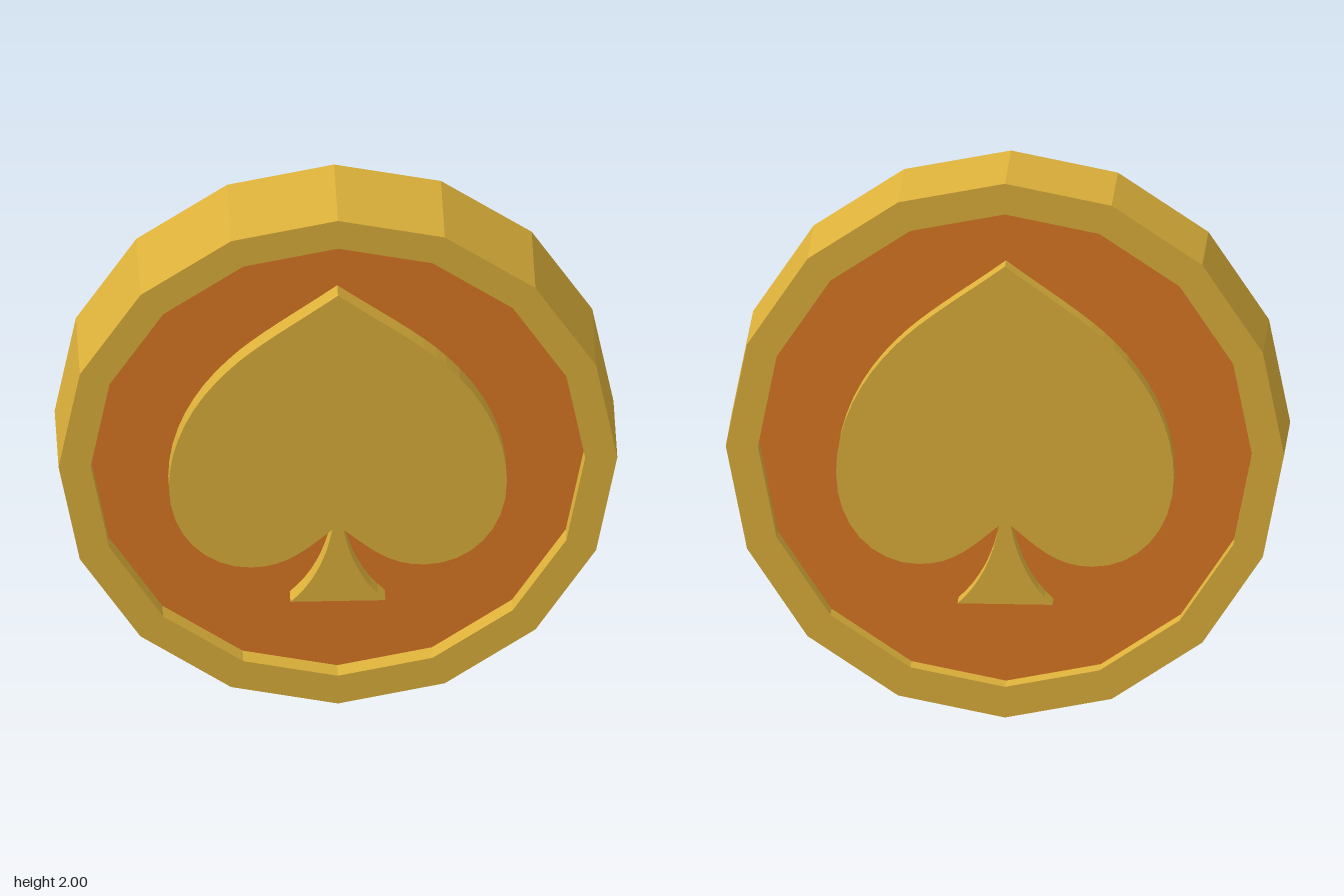
import * as THREE from 'three';

const SIDES = 16;
const DEPTH = 0.4;
const RECESS = 0.075;

const gold = new THREE.MeshStandardMaterial({ color: 0xdcb03a, flatShading: true });
const orange = new THREE.MeshStandardMaterial({ color: 0xdc7823, flatShading: true });

// Regular polygon with a corner at the top
function ring(radius) {
  return Array.from({ length: SIDES }, (_, i) => {
    const a = Math.PI / 2 + (i / SIDES) * Math.PI * 2;
    return new THREE.Vector2(Math.cos(a) * radius, Math.sin(a) * radius);
  });
}

// Extrusion centred on z = 0
function slab(name, shape, depth, material) {
  const geometry = new THREE.ExtrudeGeometry(shape, { depth, bevelEnabled: false });
  geometry.translate(0, 0, -depth / 2);
  const mesh = new THREE.Mesh(geometry, material);
  mesh.name = name;
  return mesh;
}

// Spade outline: draw the left half, then mirror it
function spadeShape() {
  const half = new THREE.Path();
  half.moveTo(0, 0.69);
  half.bezierCurveTo(-0.14, 0.585, -0.3, 0.485, -0.39, 0.39);
  half.bezierCurveTo(-0.52, 0.26, -0.605, 0.09, -0.605, -0.09);
  half.bezierCurveTo(-0.605, -0.29, -0.475, -0.43, -0.31, -0.43);
  half.bezierCurveTo(-0.18, -0.43, -0.11, -0.355, -0.02, -0.28);
  half.quadraticCurveTo(-0.055, -0.4725, -0.17, -0.575);
  const left = half.getPoints(8);
  const right = left.slice(1).reverse().map((p) => new THREE.Vector2(-p.x, p.y));
  return new THREE.Shape([...left, ...right]);
}

export function createModel() {
  const coin = new THREE.Group();
  coin.name = 'coin';

  // Raised rim
  const rimShape = new THREE.Shape(ring(1));
  rimShape.holes.push(new THREE.Path(ring(0.885)));
  coin.add(slab('rim', rimShape, DEPTH, gold));

  // Recessed face plate
  coin.add(slab('facePlate', new THREE.Shape(ring(0.885)), DEPTH - 2 * RECESS, orange));

  // Spade emblem on each side, flush with the rim
  const spade = spadeShape();
  for (const [name, side] of [['frontSpade', 1], ['backSpade', -1]]) {
    const emblem = slab(name, spade, RECESS, gold);
    emblem.position.z = side * (DEPTH - RECESS) / 2;
    coin.add(emblem);
  }

  coin.position.y = 1;
  const model = new THREE.Group();
  model.add(coin);
  return model;
}
